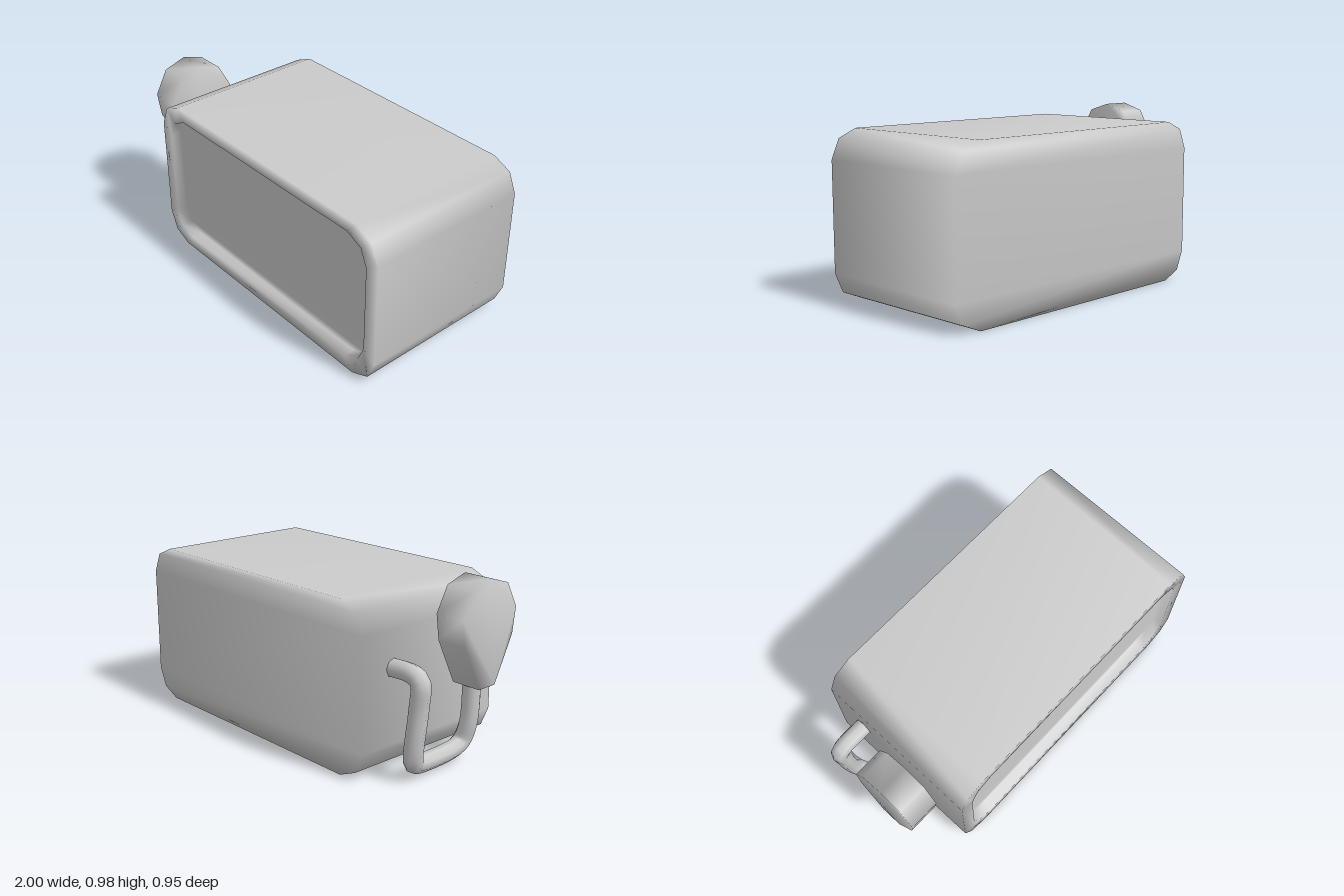
import * as THREE from 'three';
import { mergeVertices } from 'three/addons/utils/BufferGeometryUtils.js';

// Rectangle loop with two-step chamfered corners, counter-clockwise
function chamferLoop(x0, x1, y0, y1, c, k) {
  const corner = [[0, c], [k, k], [c, 0]];
  const at = (sx, sy, order) => order.map(([a, b]) => [sx > 0 ? x1 - a : x0 + a, sy > 0 ? y1 - b : y0 + b]);
  const rev = [...corner].reverse();
  return [...at(1, -1, rev), ...at(1, 1, corner), ...at(-1, 1, rev), ...at(-1, -1, corner)];
}

// Smooth skin through closed loops of equal size, capped at both ends
function loft(loops) {
  const n = loops[0].length, pos = loops.flat(2), idx = [];
  for (let r = 0; r < loops.length - 1; r++) {
    for (let i = 0; i < n; i++) {
      const j = (i + 1) % n, a = r * n + i, b = r * n + j;
      idx.push(a, b, b + n, a, b + n, a + n);
    }
  }
  // Caps are zipped in strips between the right and left halves of the loop
  const last = (loops.length - 1) * n;
  for (let i = 0; i < n / 2 - 1; i++) {
    const a = i, b = i + 1, c = n - 2 - i, d = n - 1 - i;
    idx.push(a, c, b, a, d, c);
    idx.push(last + a, last + b, last + c, last + a, last + c, last + d);
  }
  const g = new THREE.BufferGeometry();
  g.setAttribute('position', new THREE.Float32BufferAttribute(pos, 3));
  g.setIndex(idx);
  g.computeVertexNormals();
  return g;
}

export function createModel() {
  const group = new THREE.Group();
  const material = new THREE.MeshStandardMaterial({ color: 0xcccccc });
  const add = (name, geometry) => {
    const mesh = new THREE.Mesh(geometry, material);
    mesh.name = name;
    group.add(mesh);
  };

  // Housing: back, outer wall, front rim and shallow recessed panel
  const outer = chamferLoop(-0.765, 1, 0, 0.91, 0.155, 0.047);
  const inner = chamferLoop(-0.69, 0.92, 0.07, 0.84, 0.137, 0.042);
  const ring = (loop, z) => loop.map(([x, y]) => [x, y, z]);
  add('housing', loft([ring(outer, -0.473), ring(outer, 0.473), ring(inner, 0.473), ring(inner, 0.41)]));

  // Bent rod from the side wall out, down, forward and up to the knob
  const path = new THREE.CatmullRomCurve3([
    [-0.72, 0.555, -0.265], [-0.9, 0.555, -0.265], [-0.945, 0.525, -0.265], [-0.94, 0.4, -0.265],
    [-0.905, 0.11, -0.26], [-0.88, 0.07, -0.21], [-0.87, 0.07, 0.08], [-0.872, 0.1, 0.135],
    [-0.895, 0.2, 0.155], [-0.905, 0.45, 0.16],
  ].map((p) => new THREE.Vector3(...p)), false, 'centripetal');
  add('crankRod', new THREE.TubeGeometry(path, 48, 0.05, 8));

  // Flat teardrop knob, extruded sideways
  const half = [[0.06, 0.415], [0.18, 0.66], [0.2, 0.8], [0.127, 0.935]];
  const outline = [...half, [0, 0.975], ...half.map(([a, y]) => [-a, y]).reverse()];
  const shape = new THREE.Shape(outline.map(([a, y]) => new THREE.Vector2(a, y)));
  let knob = new THREE.ExtrudeGeometry(shape, { depth: 0.17, bevelEnabled: false });
  knob.rotateY(-Math.PI / 2).translate(-0.83, 0, 0.16);
  knob.deleteAttribute('normal');
  knob.deleteAttribute('uv');
  knob = mergeVertices(knob);
  knob.computeVertexNormals();
  add('knob', knob);

  return group;
}
